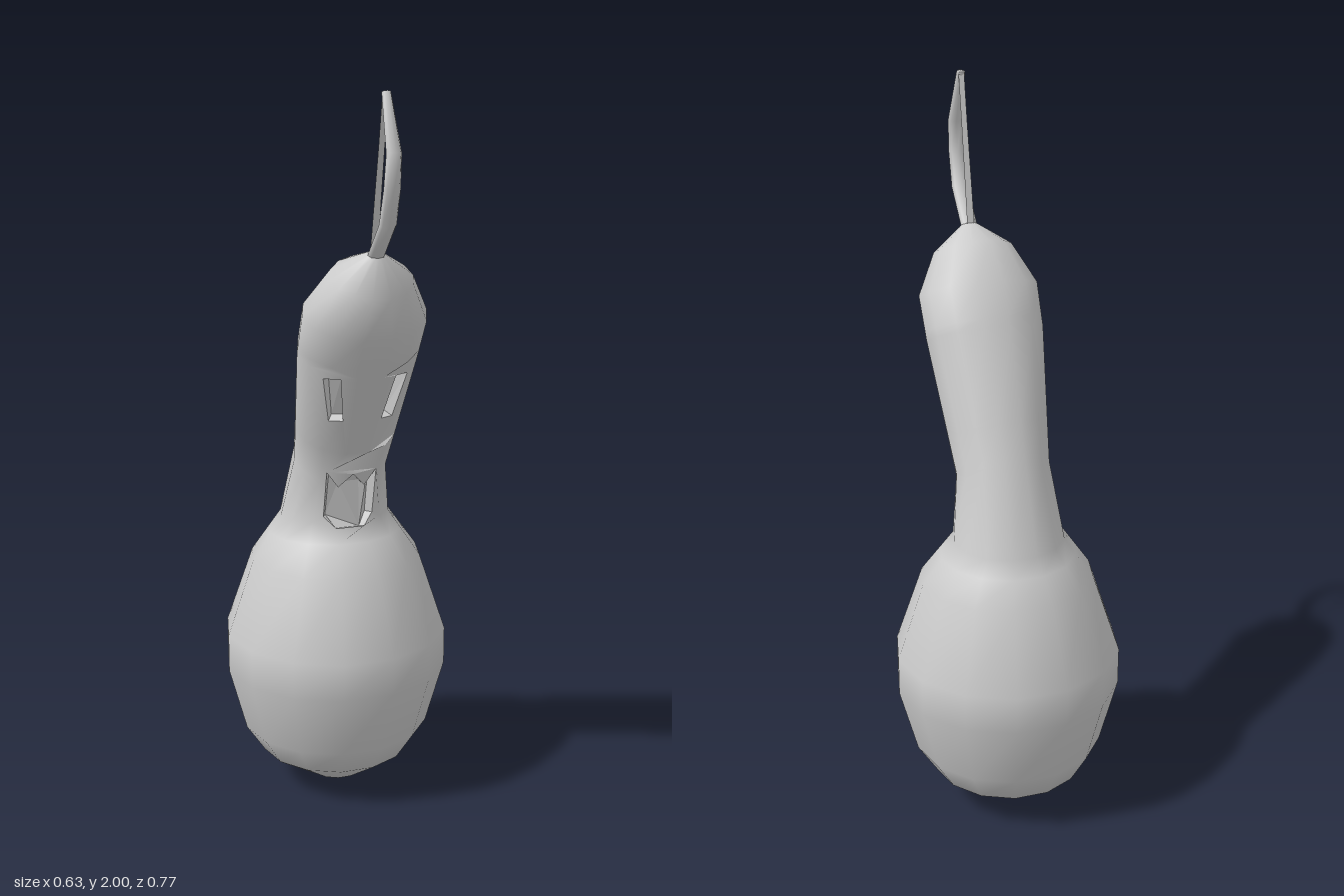
import * as THREE from 'three';

const SIDES = 14;
const DEPTH = 0.03;

// Cross-sections, bottom to top: [front z, front y, back z, back y, half width]
const mix = (a, b, t) => a.map((v, i) => v + (b[i] - v) * t);
const belly = [0.145, 0.70, -0.31, 0.70, 0.24];
const throat = [0.045, 0.83, -0.235, 0.81, 0.155];
const neck = [0.065, 0.94, -0.15, 1.05, 0.13];
const brow = [0.217, 1.27, 0, 1.385, 0.165];
const head = [0.275, 1.38, 0.06, 1.49, 0.168];
const BODY = [
  [-0.085, 0.005, -0.085, 0.005, 0],
  [0, 0.03, -0.17, 0.03, 0.08],
  [0.118, 0.11, -0.305, 0.11, 0.212],
  [0.168, 0.19, -0.345, 0.19, 0.265],
  [0.22, 0.375, -0.39, 0.375, 0.315],
  [0.22, 0.48, -0.39, 0.48, 0.315],
  belly, mix(belly, throat, 0.6), throat,
  neck, mix(neck, brow, 0.3),
  brow, mix(brow, head, 0.2), head,
  [0.302, 1.49, 0.14, 1.58, 0.11],
  [0.265, 1.59, 0.235, 1.605, 0.022],
  [0.25, 1.6, 0.25, 1.6, 0],
];
const STEM = [
  [0.262, 1.585, 0.235, 1.6, 0.023],
  [0.345, 1.675, 0.325, 1.69, 0.023],
  [0.375, 1.77, 0.353, 1.775, 0.022],
  [0.387, 1.86, 0.362, 1.855, 0.02],
  [0.325, 2.0, 0.308, 1.992, 0.012],
  [0.316, 1.996, 0.316, 1.996, 0],
];

// Face openings seen from the front, counter-clockwise
const MOUTH = [[-0.07, 0.845], [-0.04, 0.815], [0.04, 0.815], [0.07, 0.845],
  [0.07, 0.98], [0.037, 0.935], [0, 0.975], [-0.037, 0.935], [-0.07, 0.98]];
const EYE = [[0.053, 1.145], [0.088, 1.145], [0.115, 1.27], [0.075, 1.27]];
const EYE_MIRROR = EYE.map(([x, y]) => [-x, y]).reverse();

// Patches of skin that carry an opening: rows, columns and the opening outline
const FACE = [
  { name: 'mouth', r0: 7, r1: 10, c0: 2, c1: 5, hole: MOUTH },
  { name: 'leftEye', r0: 10, r1: 12, c0: 1, c1: 3, hole: EYE },
  { name: 'rightEye', r0: 10, r1: 12, c0: 4, c1: 6, hole: EYE_MIRROR },
];

function ringPoint([fz, fy, bz, by, w], j, sides) {
  const a = (j / sides) * Math.PI * 2;
  const s = Math.sin(a) / 2;
  return new THREE.Vector3(w * Math.cos(a), (fy + by) / 2 + (fy - by) * s, (fz + bz) / 2 + (fz - bz) * s);
}

// Skin over a stack of tilted ellipses
function loft(rings, sides) {
  const points = [];
  const index = [];
  rings.forEach((ring, i) => {
    for (let j = 0; j < sides; j++) {
      points.push(ringPoint(ring, j, sides));
      if (i === rings.length - 1) continue;
      const a = i * sides + j;
      const b = i * sides + ((j + 1) % sides);
      index.push(a, a + sides, b, b, a + sides, b + sides);
    }
  });
  const geometry = new THREE.BufferGeometry().setFromPoints(points);
  geometry.setIndex(index);
  geometry.computeVertexNormals();
  return geometry;
}

export function createModel() {
  const group = new THREE.Group();
  const grey = new THREE.MeshStandardMaterial({ color: 0xcccccc });
  const greyDouble = new THREE.MeshStandardMaterial({ color: 0xcccccc, side: THREE.DoubleSide });
  const add = (name, geometry, material = grey) => {
    const mesh = new THREE.Mesh(geometry, material);
    mesh.name = name;
    group.add(mesh);
  };

  // Finds the point and normal of the closed skin behind a front position
  const skin = loft(BODY, SIDES);
  const closed = new THREE.Mesh(skin.clone(), grey);
  const caster = new THREE.Raycaster();
  const drape = ([x, y]) => {
    caster.set(new THREE.Vector3(x * 0.9995 + 1e-5, y, 2), new THREE.Vector3(0, 0, -1));
    const hit = caster.intersectObject(closed)[0];
    return { p: new THREE.Vector3(x, y, hit.point.z), n: hit.normal.clone() };
  };

  // Gourd body, left open where the face patches go
  const kept = [];
  const all = skin.index.array;
  for (let q = 0; q < all.length; q += 6) {
    const cell = q / 6;
    const r = Math.floor(cell / SIDES);
    const c = cell % SIDES;
    if (!FACE.some((f) => r >= f.r0 && r < f.r1 && c >= f.c0 && c < f.c1)) kept.push(...all.slice(q, q + 6));
  }
  skin.setIndex(kept);
  add('gourdBody', skin);

  for (const { name, r0, r1, c0, c1, hole } of FACE) {
    // Patch of skin around the opening
    const edge = [];
    const push = (r, c) => edge.push(ringPoint(BODY[r], c, SIDES));
    for (let c = c1; c > c0; c--) push(r0, c);
    for (let r = r0; r < r1; r++) push(r, c0);
    for (let c = c0; c < c1; c++) push(r1, c);
    for (let r = r1; r > r0; r--) push(r, c1);
    const flatHole = hole.map(([x, y]) => new THREE.Vector2(x, y));
    const flatEdge = edge.map((p) => new THREE.Vector2(p.x, p.y));
    const rim = hole.map(drape);
    const normals = [...edge.map((p) => drape([p.x, p.y]).n), ...rim.map((h) => h.n)];
    const patch = new THREE.BufferGeometry().setFromPoints([...edge, ...rim.map((h) => h.p)]);
    patch.setAttribute('normal', new THREE.Float32BufferAttribute(normals.flatMap((n) => n.toArray()), 3));
    patch.setIndex(THREE.ShapeUtils.triangulateShape(flatEdge, [flatHole]).flat());
    add(name + 'Surround', patch);

    // Carved walls and floor
    const outer = rim.map((h) => h.p);
    const inner = rim.map((h) => h.p.clone().addScaledVector(h.n, -DEPTH));
    const carved = [];
    outer.forEach((o, i) => {
      const k = (i + 1) % outer.length;
      carved.push(o, outer[k], inner[i], inner[i], outer[k], inner[k]);
    });
    THREE.ShapeUtils.triangulateShape(flatHole, []).flat().forEach((i) => carved.push(inner[i]));
    const recess = new THREE.BufferGeometry().setFromPoints(carved);
    recess.computeVertexNormals();
    add(name + 'Recess', recess);
  }

  // Curved stem
  add('stem', loft(STEM, 8));

  // Thin fibre from the stem tip back to its base
  const path = [[0.235, 1.6, 0.01], [0.26, 1.73, 0.009], [0.286, 1.86, 0.008], [0.312, 1.995, 0.008]];
  const fibre = new THREE.PlaneGeometry(2, 1, 1, path.length - 1);
  const pos = fibre.attributes.position;
  for (let i = 0; i < pos.count; i++) {
    const [z, y, w] = path[path.length - 1 - Math.floor(i / 2)];
    pos.setXYZ(i, pos.getX(i) * w, y, z);
  }
  fibre.computeVertexNormals();
  add('stemFibre', fibre, greyDouble);

  return group;
}
